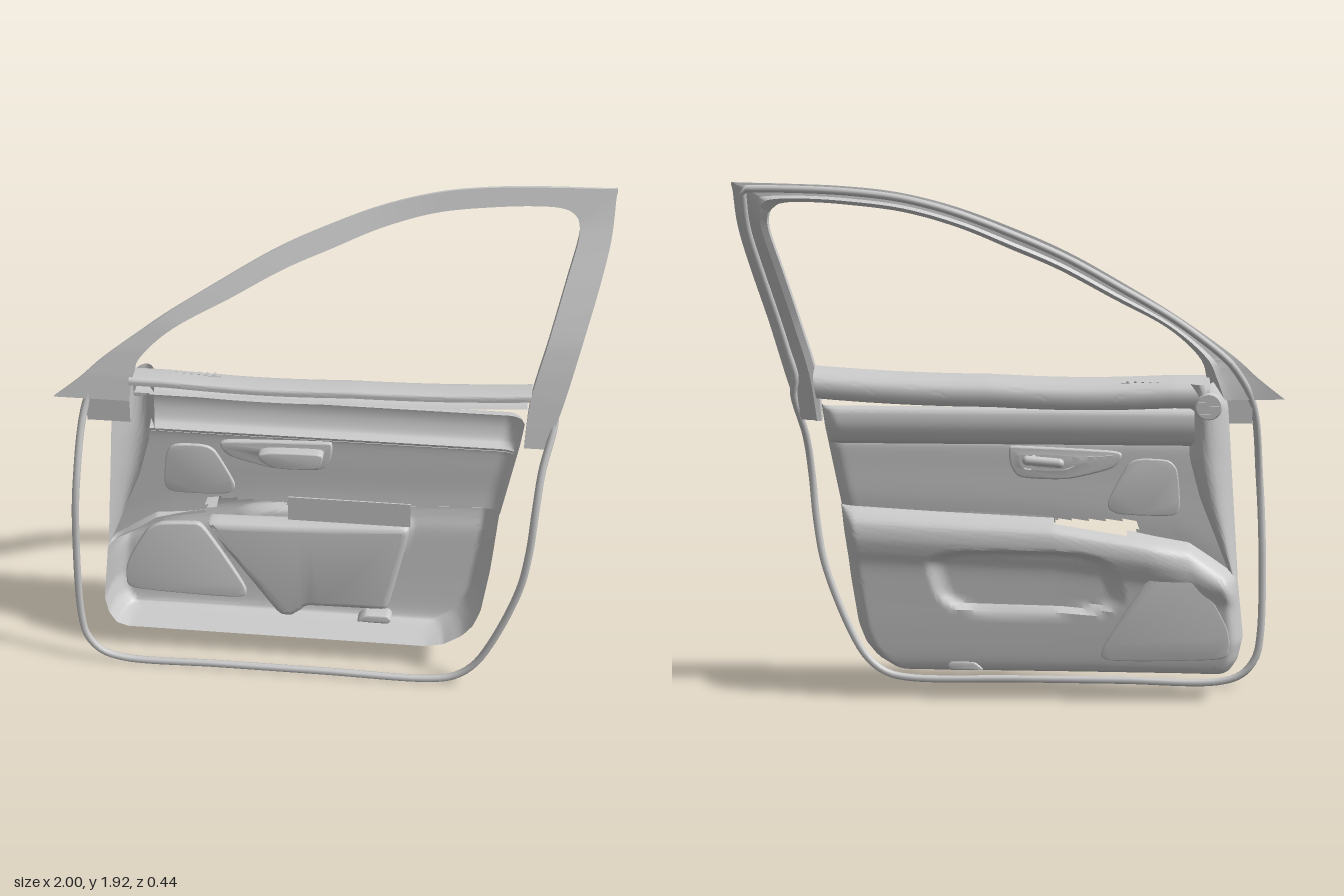
import * as THREE from 'three';
import { toCreasedNormals } from 'three/addons/utils/BufferGeometryUtils.js';

const mat = new THREE.MeshStandardMaterial({ color: 0xcccccc, side: THREE.DoubleSide });
const lerp = THREE.MathUtils.lerp, smooth = THREE.MathUtils.smoothstep;

// Piecewise linear lookup in [[t, value], ...]
function table(pts, t) {
  if (t <= pts[0][0]) return pts[0][1];
  for (let i = 1; i < pts.length; i++) {
    const [a, va] = pts[i - 1], [b, vb] = pts[i];
    if (t <= b) return lerp(va, vb, (t - a) / (b - a));
  }
  return pts[pts.length - 1][1];
}

// Surface from a rule fn(u, v) -> [x, y, z]; skip(x, y, z) leaves openings
function grid(nu, nv, fn, skip = () => false) {
  const pos = [], idx = [];
  for (let j = 0; j <= nv; j++) for (let i = 0; i <= nu; i++) pos.push(...fn(i / nu, j / nv));
  const w = nu + 1;
  for (let j = 0; j < nv; j++) for (let i = 0; i < nu; i++) {
    const a = j * w + i, c = a + w + 1;
    const mid = [0, 1, 2].map(k => (pos[a * 3 + k] + pos[c * 3 + k]) / 2);
    if (!skip(...mid)) idx.push(a, a + 1, c, a, c, a + w);
  }
  const g = new THREE.BufferGeometry();
  g.setAttribute('position', new THREE.Float32BufferAttribute(pos, 3));
  g.setIndex(idx);
  return toCreasedNormals(g, 0.6);
}

const spline = pts => new THREE.SplineCurve(pts.map(p => new THREE.Vector2(...p)));

// Closed rounded outline through a few points
function blob(pts, tension = 0.35) {
  const c = new THREE.CatmullRomCurve3(pts.map(p => new THREE.Vector3(p[0], p[1], 0)), true, 'catmullrom', tension);
  return c.getPoints(72).slice(0, -1).map(p => new THREE.Vector2(p.x, p.y));
}

function extrude(outline, depth, bevel, hole) {
  const s = new THREE.Shape(outline);
  if (hole) s.holes.push(new THREE.Path(hole));
  return toCreasedNormals(new THREE.ExtrudeGeometry(s, {
    depth, bevelSize: bevel, bevelOffset: -bevel, bevelThickness: bevel, bevelSegments: 3,
  }), 0.6);
}

// Panel outline and frame lean
const LEFT = [[0.09, -0.77], [0.105, -0.815], [0.15, -0.843], [0.22, -0.857], [0.43, -0.835], [0.8, -0.81], [1.1, -0.79], [1.21, -0.72]];
const RIGHT = [[0.09, 0.38], [0.105, 0.45], [0.15, 0.52], [0.2, 0.56], [0.27, 0.587], [0.45, 0.615], [0.68, 0.64], [1, 0.705], [1.235, 0.74]];
const PILLAR = [[0.42, -0.82], [0.6, -0.75], [0.75, -0.69], [0.9, -0.65], [1.2, -0.64]];
const LEDGE = [[-0.85, 0.45], [-0.66, 0.58], [-0.46, 0.62], [-0.15, 0.67], [0.3, 0.69], [0.65, 0.71]];
const FRAME_Z = [[1.02, 0.125], [1.1, 0.11], [1.2, 0.09], [1.3, 0.066], [1.4, 0.036], [1.5, -0.005], [1.6, -0.05], [1.7, -0.098], [1.8, -0.145], [1.92, -0.188]];
const left = y => table(LEFT, y), right = y => table(RIGHT, y);
const pillarEdge = y => table(PILLAR, y), ledge = x => table(LEDGE, x);

// Panel skin: a (y, z) profile swept across the door, with edges turned outward
function skin(profile, { from = left, rim = () => 0.07, warp = (x, y) => y, relief = () => 0, skip, flanges = [1, 1], nu = 110, nv = 40 }) {
  const c = spline(profile);
  return grid(nu, nv, (u, v) => {
    const p = c.getPoint(v);
    const y = warp(lerp(-0.84, 0.66, u), p.x);
    const x = lerp(from(y), right(y), u);
    const d = Math.min(flanges[0] ? x - from(y) : 1, flanges[1] ? right(y) - x : 1);
    const k = d < 0.06 ? 1 - Math.sqrt(1 - (1 - d / 0.06) ** 2) : 0;
    const z = p.y + relief(x, y);
    return [x, y, lerp(z, Math.max(z, rim(y)), k)];
  }, skip);
}

export function createModel() {
  const door = new THREE.Group();
  door.name = 'doorTrim';
  const add = (name, geo, x = 0, y = 0, z = 0, rx = 0, rz = 0, parent = door) => {
    const m = new THREE.Mesh(geo, mat);
    m.name = name;
    m.position.set(x, y, z);
    m.rotation.set(rx, 0, rz);
    parent.add(m);
  };

  // Lower panel with armrest shelf, pocket recess and open shelf back
  add('lowerPanel', skin(
    [[0.09, 0.1], [0.095, 0.03], [0.104, -0.03], [0.13, -0.056], [0.25, -0.07], [0.4, -0.08], [0.5, -0.088],
      [0.56, -0.103], [0.61, -0.11], [0.66, -0.1], [0.69, -0.07], [0.705, -0.03], [0.705, 0.01], [0.69, 0.035]], {
      nu: 160, nv: 90,
      rim: y => lerp(0.1, 0.05, smooth(y, 0.5, 0.7)),
      warp: (x, y) => 0.09 + (y - 0.09) * (ledge(x) - 0.09) / 0.61,
      relief: (x, y) => {
        const r = Math.abs((x + 0.05 - (y - 0.45) * 0.3) / 0.35) ** 4 + Math.abs((y - 0.45) / 0.12) ** 4;
        return 0.03 * (1 - smooth(r, 0.4, 1.1)) + 0.03 * (1 - smooth(x, -0.75, -0.5)) * smooth(y, 0.4, 0.55);
      },
      skip: (x, y, z) => y > 0.58 && (x > -0.42 && x < -0.15 ? z > -0.06 : x > -0.46 && x < 0.31 && z > 0.03),
    }));

  // Upper insert with its skirt behind the armrest, waist band and belt roll
  add('upperInsert', skin([[0.68, 0.035], [0.75, 0.03], [0.85, 0.03], [0.93, 0.03], [0.955, 0.035]], {
    from: y => pillarEdge(y) - 0.02, flanges: [0, 1],
    warp: (x, y) => lerp(ledge(x) - 0.015, 0.955, (y - 0.68) / 0.275),
    skip: (x, y) => (x > -0.22 && x < -0.04 && y > 0.855 && y < 0.905) || (x > -0.46 && x < -0.15 && y < 0.665),
  }));
  add('insertSkirt', new THREE.BoxGeometry(0.46, 0.1, 0.006), 0.08, 0.64, 0.036);
  add('waistBand', skin([[0.945, 0.035], [0.95, 0.005], [0.97, -0.018], [1.02, -0.034], [1.07, -0.03], [1.085, -0.01], [1.087, 0.015]],
    { from: y => pillarEdge(y) - 0.02, flanges: [0, 1], nv: 24 }));
  add('beltRoll', skin([[1.095, 0.02], [1.09, -0.015], [1.1, -0.036], [1.135, -0.044], [1.165, -0.034], [1.185, -0.005], [1.196, 0.045], [1.2, 0.09], [1.195, 0.105], [1.175, 0.107]], {
    from: () => -0.72, flanges: [0, 0], nv: 32,
    warp: (x, y) => y + (x > 0 ? 0.03 * (x / 0.7) ** 2 : -0.01 * Math.sin(Math.PI * Math.min(1, -x / 0.7))),
  }));

  // Curved trim down the front edge, with round tweeter
  add('frontEdgeTrim', grid(20, 30, (u, v) => {
    const y = lerp(0.44, 1.18, v), bulge = Math.sin(Math.PI * u) ** 0.6;
    return [lerp(left(y), pillarEdge(y), u), y, lerp(0.08, 0.025, u) - bulge * lerp(0.05, 0.1, v)];
  }));
  add('tweeter', new THREE.CylinderGeometry(0.045, 0.052, 0.03, 32), -0.715, 1.1, -0.047, -Math.PI / 2);
  for (let i = -2; i <= 2; i++)
    add('tweeterSlat', new THREE.BoxGeometry(2 * Math.sqrt(0.0016 - (i * 0.014) ** 2), 0.006, 0.006), -0.715, 1.1 + i * 0.014, -0.063);

  // Speaker covers
  const low = blob([[-0.8, 0.21], [-0.76, 0.165], [-0.38, 0.155], [-0.335, 0.2], [-0.49, 0.45], [-0.55, 0.47], [-0.66, 0.46], [-0.72, 0.42], [-0.79, 0.29]]);
  add('lowerSpeakerCover', extrude(low, 0.02, 0.004), 0, 0, -0.057, -0.07);
  const high = blob([[-0.615, 0.72], [-0.58, 0.685], [-0.39, 0.69], [-0.35, 0.73], [-0.42, 0.87], [-0.47, 0.895], [-0.57, 0.89], [-0.605, 0.85]]);
  add('upperSpeakerCover', extrude(high, 0.018, 0.004), 0, 0, 0.021);

  // Storage pocket bucket
  const bucket = blob([[-0.455, 0.54], [-0.44, 0.555], [-0.1, 0.565], [0.28, 0.585], [0.305, 0.565], [0.295, 0.5], [0.235, 0.23], [0.205, 0.205],
    [-0.07, 0.2], [-0.1, 0.18], [-0.14, 0.15], [-0.18, 0.15], [-0.21, 0.18], [-0.4, 0.45]], 0.2);
  add('pocketBucket', extrude(bucket, 0.04, 0.025), 0, 0, -0.012);

  // Inner door handle: bezel, cup, lever and switches
  const handle = new THREE.Group();
  handle.name = 'handle';
  door.add(handle);
  const part = (n, g, x, y, z, rx = 0, rz = 0) => add(n, g, x, y, z, rx, rz, handle);
  const bezel = blob([[-0.4, 0.905], [-0.36, 0.925], [-0.02, 0.94], [0.015, 0.93], [0.01, 0.87], [-0.03, 0.825], [-0.2, 0.82], [-0.36, 0.86]]);
  const opening = blob([[-0.25, 0.9], [-0.2, 0.912], [-0.03, 0.915], [-0.015, 0.89], [-0.04, 0.85], [-0.18, 0.845], [-0.24, 0.87]]);
  part('handleBezel', extrude(bezel, 0.03, 0.006, opening), 0, 0, 0.014);
  part('handleCup', extrude(opening, 0.02, 0.006), 0, 0, 0.065);
  part('handleCupWall', grid(opening.length, 2, (u, v) => {
    const p = opening[Math.round(u * opening.length) % opening.length];
    return [p.x, p.y, lerp(0.02, 0.07, v)];
  }), 0, 0, 0);
  part('handleLever', new THREE.CapsuleGeometry(0.018, 0.12, 6, 16), -0.11, 0.882, 0.02, 0, Math.PI / 2 + 0.08);
  part('handlePivot', new THREE.CylinderGeometry(0.026, 0.026, 0.05, 24), -0.06, 0.882, 0.045, Math.PI / 2);
  for (let i = 0; i < 3; i++)
    part('seatSwitch', new THREE.BoxGeometry(0.024, 0.028, 0.016), -0.355 + i * 0.034, 0.895 - i * 0.002, 0.004);

  // Defroster grille on the belt roll
  add('ventBase', new THREE.BoxGeometry(0.27, 0.008, 0.036), -0.53, 1.18, 0.012, -0.25);
  for (let i = 0; i < 9; i++)
    add('ventSlat', new THREE.BoxGeometry(0.008, 0.01, 0.03), -0.64 + i * 0.0275, 1.184, 0.012, -0.25);

  // Lamp in the bottom edge
  add('courtesyLamp', extrude(blob([[0.11, 0.11], [0.225, 0.108], [0.24, 0.125], [0.225, 0.142], [0.14, 0.14]], 0.2), 0.05, 0.006), 0, 0, -0.056);

  // Window frame: matching outer and inner rails
  const outer = spline([[-1, 1.11], [-0.9, 1.19], [-0.8, 1.28], [-0.6, 1.425], [-0.4, 1.55], [-0.2, 1.665], [0, 1.755], [0.2, 1.83], [0.4, 1.88],
    [0.6, 1.902], [0.8, 1.91], [0.97, 1.914], [0.996, 1.914], [0.993, 1.88], [0.985, 1.75], [0.955, 1.6], [0.905, 1.4], [0.85, 1.18], [0.8, 1.02]]);
  const inner = spline([[-0.72, 1.11], [-0.71, 1.19], [-0.68, 1.275], [-0.56, 1.385], [-0.36, 1.495], [-0.17, 1.6], [0, 1.675], [0.18, 1.752], [0.38, 1.81],
    [0.6, 1.838], [0.75, 1.846], [0.82, 1.84], [0.85, 1.825], [0.868, 1.8], [0.87, 1.74], [0.835, 1.6], [0.785, 1.4], [0.735, 1.2], [0.72, 1.02]]);
  const railAt = (t, w) => {
    const p = outer.getPoint(t).lerp(inner.getPoint(t), w);
    return [p.x, p.y, table(FRAME_Z, p.y)];
  };
  const section = [[0, 0], [1, 0], [1, -0.042], [0.8, -0.05], [0.65, -0.03], [0, -0.01], [0, 0]];
  add('windowFrame', grid(108, 6, (u, v) => {
    const [w, dz] = section[Math.round(v * 6)], p = railAt(u, w);
    return [p[0], p[1], p[2] + dz];
  }));
  add('mirrorTab', new THREE.BoxGeometry(0.16, 0.1, 0.012), -0.8, 1.07, 0.1);

  // Weather seal
  const SEAL_Z = [[0, 0.2], [0.4, 0.203], [0.75, 0.208], [0.9, 0.178], [1, 0.145], [1.12, 0.09]];
  const path = [[0.825, 1.12], [0.79, 0.95], [0.775, 0.8], [0.76, 0.62], [0.73, 0.45], [0.635, 0.2], [0.57, 0.09], [0.5, 0.035], [0.41, 0.014],
    [0, 0.014], [-0.4, 0.014], [-0.77, 0.014], [-0.86, 0.045], [-0.91, 0.11], [-0.927, 0.2], [-0.93, 0.5], [-0.915, 0.8], [-0.88, 1.1]]
    .map(([x, y]) => [x, y, table(SEAL_Z, y)]);
  for (let i = 3; i <= 34; i++) {
    const p = railAt(i / 36, 0.3);
    path.push([p[0], p[1], p[2] - 0.026]);
  }
  const loop = new THREE.CatmullRomCurve3(path.map(p => new THREE.Vector3(...p)), true, 'centripetal');
  add('doorSeal', new THREE.TubeGeometry(loop, 240, 0.014, 8, true));
  return door;
}
